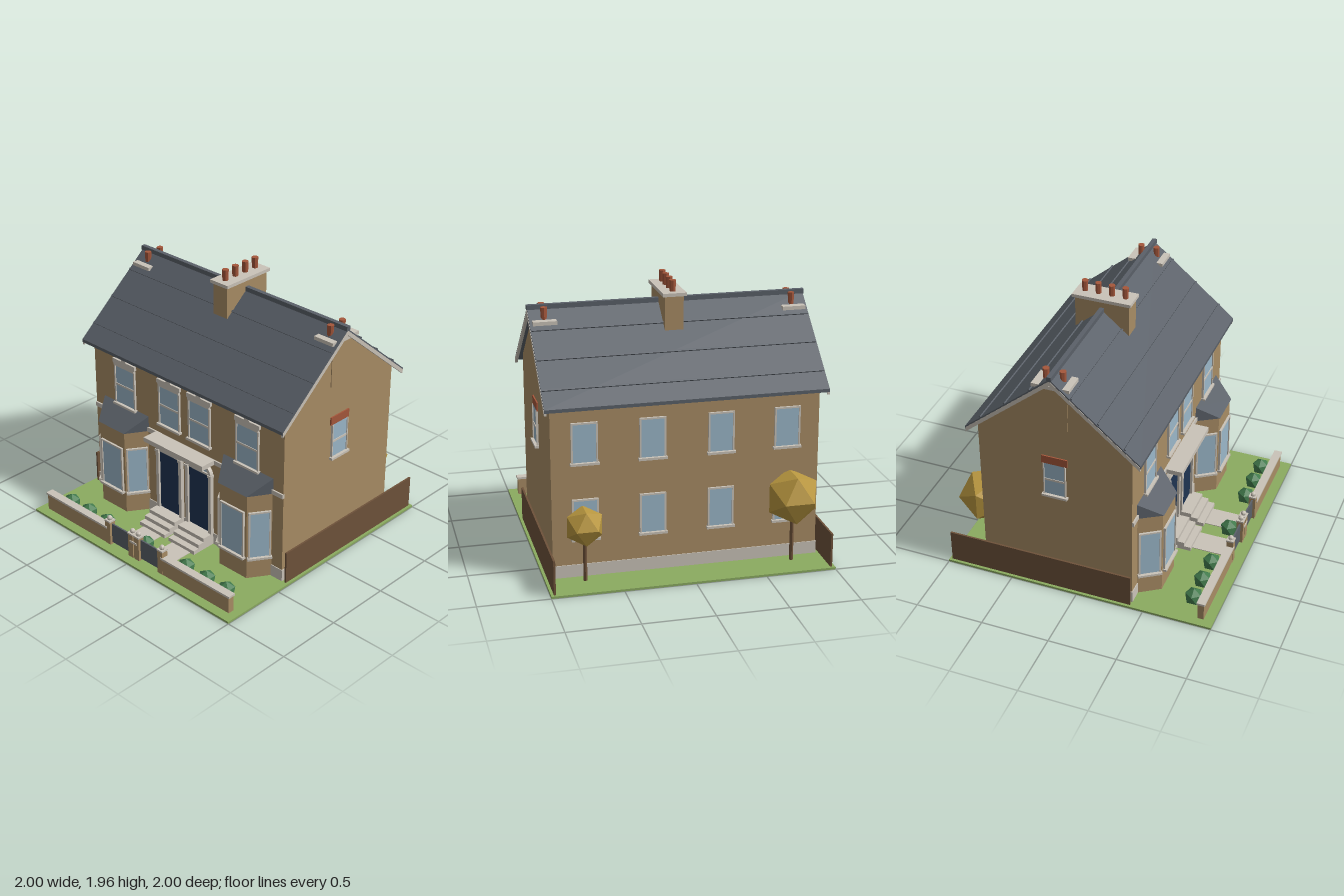
import * as THREE from 'three';

const mat = (name, color) => Object.assign(new THREE.MeshStandardMaterial({ color }), { name });
const M = {
  brick: mat('brick', 0xa88c64),
  slate: mat('slate', 0x5a6068),
  stone: mat('stone', 0xcac3b8),
  glass: mat('glass', 0x9bb7c9),
  navy: mat('navy door paint', 0x1f3452),
  clay: mat('terracotta', 0xa5573b),
  grass: mat('grass', 0x8bab60),
  wood: mat('brown timber', 0x6e523a),
  shrub: mat('shrub green', 0x427a4c),
  leaf: mat('autumn leaf', 0xb8963f),
};
for (const m of Object.values(M)) m.flatShading = true;

const add = (parent, name, geo, material, x = 0, y = 0, z = 0) => {
  const mesh = new THREE.Mesh(geo, material);
  mesh.name = name;
  mesh.position.set(x, y, z);
  parent.add(mesh);
  return mesh;
};
// Box given by its limits
const box = (parent, name, m, x0, x1, y0, y1, z0, z1) =>
  add(parent, name, new THREE.BoxGeometry(x1 - x0, y1 - y0, z1 - z0), m, (x0 + x1) / 2, (y0 + y1) / 2, (z0 + z1) / 2);
const shapeOf = (pts) => new THREE.Shape(pts.map(([x, y]) => new THREE.Vector2(x, y)));
const extrude = (shape, depth) => new THREE.ExtrudeGeometry(shape, { depth, bevelEnabled: false, curveSegments: 12 });
// Profile in (depth, height), swept along x and centred
const sweepX = (pts, width) => extrude(shapeOf(pts), width).translate(0, 0, -width / 2).rotateY(Math.PI / 2);
const group = (parent, name, x = 0, y = 0, z = 0, ry = 0) => {
  const g = new THREE.Group();
  g.name = name;
  g.position.set(x, y, z);
  g.rotation.y = ry;
  parent.add(g);
  return g;
};

const G = 0.015;            // ground level
const FRONT = 0.4, BACK = -0.72, RIDGE_Z = -0.16;
const RIDGE_Y = 1.785, SLOPE = 0.835, REACH = 0.635;

// Sash window facing +z; hw is half the glass width
function makeWindow(parent, name, hw, y0, y1, { rail, lintel, frame = 0.012, sill = true } = {}) {
  const g = group(parent, name);
  box(g, 'pane', M.glass, -hw, hw, y0, y1, 0, 0.008);
  for (const s of [-1, 1]) add(g, 'jamb', new THREE.BoxGeometry(frame, y1 - y0, 0.016), M.stone, s * (hw + frame / 2), (y0 + y1) / 2, 0.008);
  if (lintel !== 'none') box(g, 'head', M.stone, -hw - frame, hw + frame, y1, y1 + frame, 0, 0.016);
  if (rail) box(g, 'meetingRail', M.stone, -hw, hw, rail - 0.008, rail + 0.008, 0, 0.013);
  if (sill) box(g, 'sill', M.stone, -hw - 0.02, hw + 0.02, y0 - 0.017, y0, 0, 0.03);
  return g;
}

function makeBay(parent, x) {
  const g = group(parent, 'bayWindow', x, 0, FRONT);
  const a = 0.23, b = 0.13, d = 0.15;
  const plan = shapeOf([[-a, 0.02], [-a, 0], [-b, -d], [b, -d], [a, 0], [a, 0.02]]);
  add(g, 'bayWall', extrude(plan, 0.675).rotateX(-Math.PI / 2), M.brick, 0, G, 0);
  makeWindow(g, 'bayFrontWindow', 0.1, 0.19, 0.545).position.z = d;
  for (const s of [-1, 1]) {
    const w = makeWindow(g, 'baySideWindow', 0.068, 0.19, 0.545);
    w.position.set(s * (a + b) / 2, 0, d / 2);
    w.rotation.y = s * Math.atan2(d, a - b);
  }
  // Hipped lean-to roof
  const A = 0.235, B = 0.135, D = 0.16, lo = 0.69, hi = 0.81;
  const v = [-A, hi, 0, A, hi, 0, -A, lo, 0, A, lo, 0, -B, lo, D, B, lo, D];
  const geo = new THREE.BufferGeometry();
  geo.setAttribute('position', new THREE.Float32BufferAttribute(v, 3));
  geo.setIndex([0, 4, 5, 0, 5, 1, 0, 2, 4, 1, 5, 3, 2, 3, 5, 2, 5, 4]);
  const flat = geo.toNonIndexed();
  flat.computeVertexNormals();
  add(g, 'bayRoof', flat, M.slate);
}

function makeDoorway(parent, x) {
  const g = group(parent, 'doorway', x, 0, FRONT);
  box(g, 'door', M.navy, -0.103, 0.103, 0.1, 0.58, 0, 0.012);
  box(g, 'transom', M.stone, -0.105, 0.105, 0.58, 0.595, 0, 0.02);
  const half = (shape, rx, ry) => shape.absellipse(0, 0, rx, ry, 0, Math.PI, false);
  const light = new THREE.Shape();
  half(light, 0.105, 0.075);
  add(g, 'fanlight', extrude(light, 0.009), M.glass, 0, 0.59, 0);
  const arch = new THREE.Shape();
  half(arch, 0.128, 0.092);
  arch.lineTo(-0.103, 0);
  arch.absellipse(0, 0, 0.103, 0.068, Math.PI, 0, true);
  add(g, 'doorArch', extrude(arch, 0.03), M.stone, 0, 0.59, 0);
  for (const s of [-1, 1]) {
    add(g, 'pilaster', new THREE.BoxGeometry(0.027, 0.49, 0.03), M.stone, s * 0.116, 0.345, 0.015);
    add(g, 'pilasterCap', new THREE.BoxGeometry(0.034, 0.02, 0.036), M.stone, s * 0.116, 0.585, 0.018);
  }
  [[0.205, 0.045], [0.155, 0.075], [0.105, 0.105]].forEach(([d, h]) => box(g, 'doorStep', M.stone, -0.13, 0.13, G, h, 0, d));
  box(g, 'gardenPath', M.stone, -0.092, 0.092, G, 0.02, 0.2, 0.48);
}

function makeRoof(parent) {
  const g = group(parent, 'roof', 0, 0, RIDGE_Z);
  const chevron = (top, bottom, r) => [[0, RIDGE_Y - top], [-r, RIDGE_Y - top - r * SLOPE], [-r, RIDGE_Y - bottom - r * SLOPE],
    [0, RIDGE_Y - bottom], [r, RIDGE_Y - bottom - r * SLOPE], [r, RIDGE_Y - top - r * SLOPE]];
  add(g, 'roofSlates', sweepX(chevron(0, 0.024, REACH), 1.97), M.slate);
  box(g, 'ridgeTiles', M.slate, -0.99, 0.99, 1.772, 1.805, -0.016, 0.016);
  for (const s of [-1, 1]) {
    add(g, 'bargeboard', sweepX(chevron(0.012, 0.046, REACH - 0.004), 0.018), M.stone, s * 0.978, 0, 0);
    for (const d of [0.15, 0.335, 0.52]) {
      const strip = add(g, 'slateCourse', new THREE.BoxGeometry(1.96, 0.014, 0.014), M.slate, 0, RIDGE_Y - d * SLOPE + 0.003, s * d);
      strip.rotation.x = s * Math.atan(SLOPE);
    }
  }
}

function makePot(parent, x, y, z, h) {
  add(parent, 'chimneyPot', new THREE.CylinderGeometry(0.024, 0.021, h, 8), M.clay, x, y + h / 2, z);
}

function makeChimneys(parent) {
  const g = group(parent, 'chimneys');
  box(g, 'mainStack', M.brick, -0.066, 0.066, 1.5, 1.858, -0.36, 0.04);
  box(g, 'mainStackCap', M.stone, -0.083, 0.083, 1.856, 1.88, -0.377, 0.057);
  for (let i = 0; i < 4; i++) makePot(g, 0, 1.88, -0.01 - i * 0.1, 0.08);
  for (const s of [-1, 1]) {
    add(g, 'gableStack', new THREE.BoxGeometry(0.13, 0.32, 0.22), M.brick, s * 0.881, 1.53, -0.165);
    add(g, 'gableStackCap', new THREE.BoxGeometry(0.165, 0.026, 0.27), M.stone, s * 0.883, 1.703, -0.165);
    for (const z of [-0.105, -0.225]) makePot(g, s * 0.88, 1.715, z, 0.085);
  }
}

function makeGarden(parent) {
  const g = group(parent, 'garden');
  box(g, 'lawn', M.grass, -1, 1, 0, G, -1, 1);
  for (const s of [-1, 1]) {
    add(g, 'sideFence', new THREE.BoxGeometry(0.014, 0.245, 1.38), M.wood, s * 0.973, 0.1375, -0.29);
    add(g, 'frontWall', new THREE.BoxGeometry(0.65, 0.125, 0.045), M.brick, s * 0.61, 0.0775, 0.905);
    add(g, 'wallCoping', new THREE.BoxGeometry(0.665, 0.016, 0.06), M.stone, s * 0.61, 0.148, 0.905);
    add(g, 'gate', new THREE.BoxGeometry(0.19, 0.155, 0.012), M.slate, s * 0.15, 0.108, 0.905);
    for (const x of [0.03, 0.27]) {
      add(g, 'gatePost', new THREE.BoxGeometry(0.05, 0.185, 0.05), M.brick, s * x, 0.1075, 0.905);
      add(g, 'postCap', new THREE.BoxGeometry(0.056, 0.012, 0.056), M.stone, s * x, 0.206, 0.905);
      add(g, 'postBall', new THREE.SphereGeometry(0.02, 8, 6), M.stone, s * x, 0.224, 0.905);
    }
  }
  box(g, 'centreCoping', M.stone, -0.036, 0.036, 0.14, 0.156, 0.875, 0.935);
  for (const x of [-0.8, -0.61, -0.41, 0, 0.41, 0.61, 0.8])
    add(g, 'shrub', new THREE.IcosahedronGeometry(0.069, 0).rotateZ(0.5536), M.shrub, x, 0.08, 0.81);
  for (const [x, y, r] of [[-0.74, 0.49, 0.198], [0.73, 0.415, 0.141]]) {
    const t = group(g, 'tree', x, 0, -0.795);
    add(t, 'treeCrown', new THREE.IcosahedronGeometry(r, 0).rotateY(Math.PI / 2), M.leaf, 0, y, 0);
    add(t, 'treeTrunk', new THREE.CylinderGeometry(0.012, 0.015, y - G, 6), M.wood, 0, (y + G) / 2, 0);
  }
}

function makeHouse(parent) {
  const g = group(parent, 'house');
  const hd = 0.56, peak = RIDGE_Y - 0.024;
  add(g, 'houseWalls', sweepX([[-hd, G], [hd, G], [hd, peak - hd * SLOPE], [0, peak], [-hd, peak - hd * SLOPE]], 1.88), M.brick, 0, 0, RIDGE_Z);
  box(g, 'plinth', M.stone, -0.946, 0.946, G, 0.105, BACK - 0.006, FRONT + 0.006);
  box(g, 'stringCourse', M.stone, -0.94, 0.94, 0.69, 0.725, FRONT - 0.01, FRONT + 0.012);
  box(g, 'doorCanopy', M.stone, -0.295, 0.295, 0.69, 0.725, FRONT, 0.53);
  for (const s of [-1, 1]) {
    makeBay(g, s * 0.6125);
    makeDoorway(g, s * 0.15);
    // Front upper windows with stone lintel and keystone
    for (const x of [0.15, 0.61]) {
      const w = makeWindow(g, 'upperWindow', 0.095, 0.817, 1.12, { rail: 0.968, lintel: 'none' });
      w.position.set(s * x, 0, FRONT);
      const lintel = shapeOf([[-0.105, 1.12], [0.105, 1.12], [0.105, 1.135], [0.116, 1.145], [0.116, 1.175], [0.025, 1.175],
        [0.02, 1.19], [-0.02, 1.19], [-0.025, 1.175], [-0.116, 1.175], [-0.116, 1.145], [-0.105, 1.135]]);
      add(w, 'lintel', extrude(lintel, 0.02), M.stone);
    }
    // Gable windows with brick-red lintel
    const side = makeWindow(g, 'gableWindow', 0.074, 0.815, 1.07, { rail: 0.937, lintel: 'none', frame: 0.008 });
    side.position.set(s * 0.94, 0, RIDGE_Z);
    side.rotation.y = s * Math.PI / 2;
    box(side, 'redLintel', M.clay, -0.095, 0.095, 1.07, 1.13, 0, 0.01);
    // Rear windows in two rows
    for (const x of [0.24, 0.71]) for (const y of [0.3, 0.845]) {
      const w = makeWindow(g, 'rearWindow', 0.08, y, y + 0.27);
      w.position.set(s * x, 0, BACK);
      w.rotation.y = Math.PI;
    }
  }
  makeRoof(g);
  makeChimneys(g);
}

export function createModel() {
  const model = new THREE.Group();
  model.name = 'semiDetachedHouses';
  makeGarden(model);
  makeHouse(model);
  return model;
}
